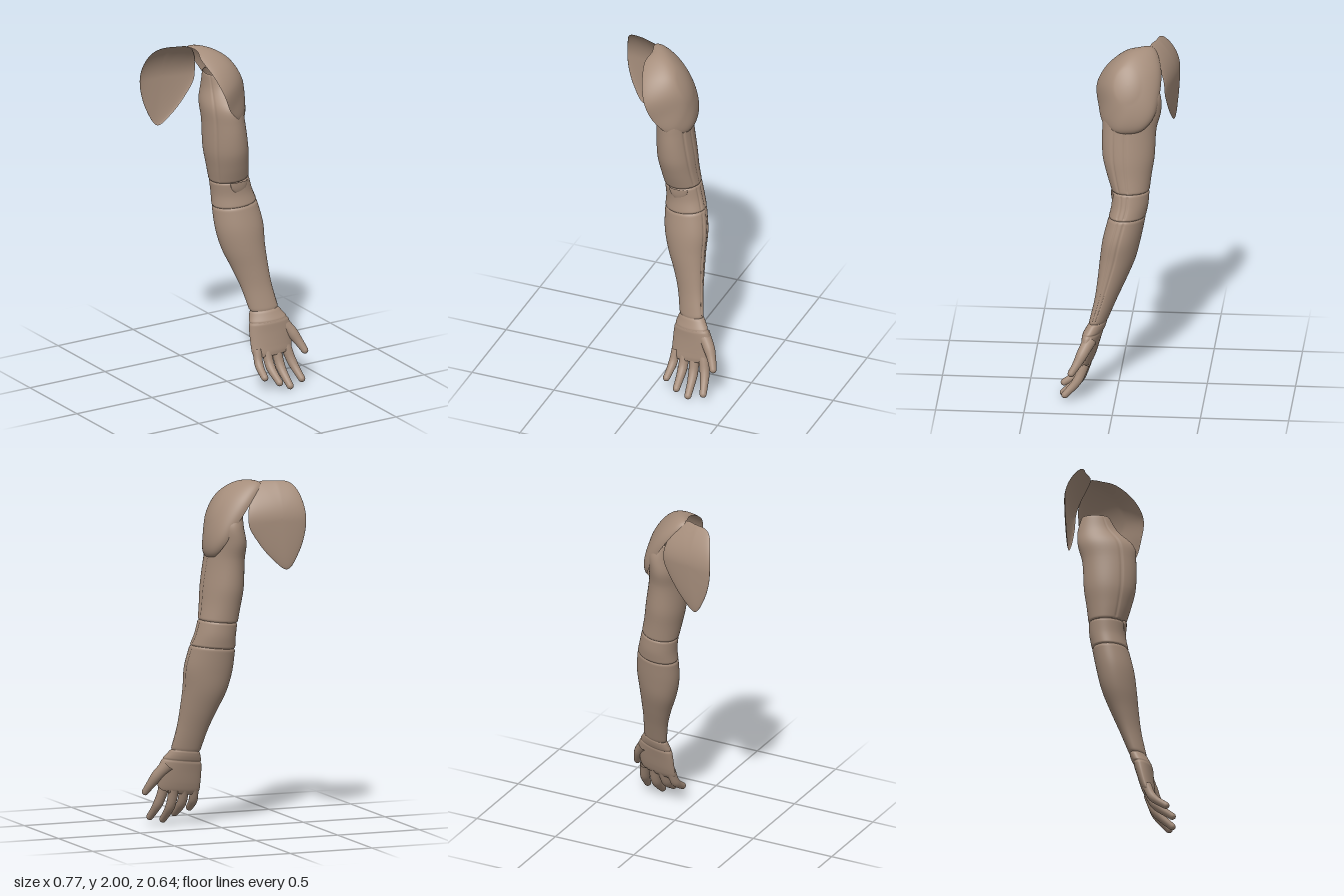
import * as THREE from 'three';

const material = new THREE.MeshStandardMaterial({ color: 0xa58d7b, side: THREE.DoubleSide });
const V = (x, y, z) => new THREE.Vector3(x, y, z);

// Skin a list of closed rings (equal point counts) into one smooth surface
function skin(name, rings) {
  const n = rings[0].length, index = [];
  for (let i = 0; i < rings.length - 1; i++) {
    for (let j = 0; j < n; j++) {
      const a = i * n + j, b = i * n + (j + 1) % n;
      index.push(a, b, a + n, b, b + n, a + n);
    }
  }
  const geometry = new THREE.BufferGeometry().setFromPoints(rings.flat());
  geometry.setIndex(index);
  geometry.computeVertexNormals();
  const mesh = new THREE.Mesh(geometry, material);
  mesh.name = name;
  return mesh;
}

// Limb segment from sections [y, xMin, xMax, zMin, zMax, skew]; ends dip into a seam,
// and lengthwise grooves run along the given angles (degrees, 0 = outer side, 90 = front)
function limb(name, sections, { grooves = [], closed = false } = {}) {
  const centres = new THREE.CatmullRomCurve3(sections.map(s => V((s[1] + s[2]) / 2, s[0], (s[3] + s[4]) / 2)));
  const radii = new THREE.CatmullRomCurve3(sections.map(s => V((s[2] - s[1]) / 2, s[5], (s[4] - s[3]) / 2)), false, 'catmullrom');
  const length = sections[0][0] - sections[sections.length - 1][0];
  const steps = 44, around = 120, rings = [];
  for (let k = 0; k <= steps; k++) {
    const u = (1 - Math.cos(Math.PI * k / steps)) / 2;
    const c = centres.getPoint(u), r = radii.getPoint(u);
    const edge = Math.min(u, 1 - u) * length;
    const dip = 0.05 * Math.exp(-((edge / 0.006) ** 2));
    const inside = THREE.MathUtils.smoothstep(edge, 0, 0.02);
    const ring = [];
    for (let j = 0; j < around; j++) {
      const t = j / around * Math.PI * 2;
      let s = 1 - dip;
      for (const g of grooves) {
        const d = Math.abs(((t * 180 / Math.PI - g + 540) % 360) - 180);
        s -= 0.045 * inside * Math.exp(-((d / 3) ** 2));
      }
      const dx = r.x * s * Math.cos(t);
      ring.push(V(c.x + dx, c.y + 0.1 * dx, c.z + r.z * s * Math.sin(t + r.y)));
    }
    rings.push(ring);
  }
  if (closed) rings.push(rings[steps].map(() => centres.getPoint(1)));
  return skin(name, rings);
}

// Tapered finger with a rounded tip along a short path
function finger(name, points, r0, r1) {
  const curve = new THREE.CatmullRomCurve3(points.map(p => V(...p)));
  const steps = 28, rings = [], length = curve.getLength();
  for (let k = 0; k <= steps; k++) {
    const u = Math.sin(k / steps * Math.PI / 2);
    const p = curve.getPointAt(u), tangent = curve.getTangentAt(u);
    const side = V(1, 0, 0).addScaledVector(tangent, -tangent.x).normalize();
    const up = tangent.clone().cross(side);
    const tip = Math.min(1, (1 - u) * length / r1);
    const knuckle = 1 + 0.06 * Math.exp(-(((u - 0.45) / 0.12) ** 2));
    const r = THREE.MathUtils.lerp(r0, r1, u) * knuckle * Math.sqrt(1 - (1 - tip) ** 2);
    rings.push(Array.from({ length: 20 }, (_, j) => {
      const t = j / 20 * Math.PI * 2;
      return p.clone().addScaledVector(side, r * Math.cos(t)).addScaledVector(up, r * Math.sin(t));
    }));
  }
  return skin(name, rings);
}

// Shell from a rim curve swelling to a pole at centre + bulge; place(offset, angle, rise) shapes each point
function shell(name, rim, centre, bulge, place) {
  const loop = new THREE.CatmullRomCurve3(rim.map(p => V(...p)), true).getPoints(96).slice(0, 96);
  const c = V(...centre), d = V(...bulge), rings = [];
  for (let k = 0; k <= 28; k++) {
    const a = k / 28 * Math.PI / 2, rise = Math.sin(a);
    rings.push(loop.map((p, j) => place(p.clone().sub(c), j / 48 * Math.PI, rise)
      .multiplyScalar(Math.cos(a)).add(c).addScaledVector(d, rise)));
  }
  return skin(name, rings);
}

export function createModel() {
  const arm = new THREE.Group();
  arm.name = 'arm';

  // Shoulder cap, open towards the body; the irregular rim eases into an even ellipse
  arm.add(shell('shoulderCap', [
    [-0.16, 1.988, -0.182], [-0.145, 1.99, -0.09], [-0.16, 1.96, -0.02], [-0.135, 1.88, 0.08],
    [-0.1, 1.78, 0.133], [-0.05, 1.67, 0.12], [0.03, 1.59, 0.085], [0.095, 1.56, 0],
    [0.097, 1.575, -0.125], [0.07, 1.64, -0.195], [0.01, 1.75, -0.228], [-0.09, 1.9, -0.23],
  ], [-0.03, 1.79, -0.045], [0.115, 0.062, -0.01], (offset, angle, rise) => {
    const t = angle - Math.PI / 6;
    return offset.lerp(V(-0.1 * Math.cos(t), 0.2 * Math.cos(t), 0.168 * Math.sin(t)), Math.min(1, 1.3 * rise * rise));
  }));

  // Shoulder blade plate, its top edge curling forwards to meet the cap
  const blade = shell('shoulderBlade', [
    [-0.31, 1.995, 0], [-0.23, 2, 0], [-0.15, 1.992, 0], [-0.08, 1.9, 0], [-0.06, 1.77, 0],
    [-0.11, 1.67, 0], [-0.2, 1.56, 0], [-0.28, 1.505, 0], [-0.345, 1.6, 0], [-0.385, 1.75, 0], [-0.375, 1.89, 0], [-0.345, 1.97, 0],
  ], [-0.24, 1.8, 0], [0, 0, -0.02], offset => offset);
  const position = blade.geometry.attributes.position;
  for (let i = 0; i < position.count; i++) {
    const x = position.getX(i), curl = Math.max(0, (position.getY(i) - 1.78) / 0.22);
    position.setZ(i, position.getZ(i) - 0.256 + (x + 0.08) * 0.18 + (0.09 + 0.2 * Math.max(0, x + 0.25)) * curl ** 2);
  }
  blade.geometry.computeVertexNormals();
  arm.add(blade);

  // Upper arm, elbow band and forearm
  arm.add(limb('upperArm', [
    [1.83, -0.06, 0.04, -0.215, -0.06, 0], [1.75, -0.068, 0.083, -0.238, -0.01, 0.05],
    [1.66, -0.093, 0.1, -0.237, 0.08, 0.1], [1.56, -0.092, 0.112, -0.212, 0.093, 0.1],
    [1.4, -0.09, 0.137, -0.203, 0.09, 0.1], [1.29, -0.072, 0.15, -0.187, 0.063, 0.1],
    [1.2, -0.055, 0.164, -0.176, 0.034, 0.1],
  ], { grooves: [0, 30, 148] }));
  arm.add(limb('elbowBand', [
    [1.2, -0.053, 0.164, -0.176, 0.034, 0.1], [1.12, -0.045, 0.184, -0.17, 0.036, 0.12], [1.05, -0.047, 0.206, -0.156, 0.051, 0.15],
  ], { grooves: [0, 22] }));
  arm.add(limb('forearm', [
    [1.05, -0.047, 0.206, -0.156, 0.051, 0.15], [0.92, -0.04, 0.228, -0.13, 0.083, 0.18],
    [0.8, -0.012, 0.226, -0.1, 0.098, 0.22], [0.68, 0.035, 0.23, -0.05, 0.11, 0.28],
    [0.57, 0.072, 0.238, 0, 0.125, 0.34], [0.44, 0.1, 0.258, 0.055, 0.155, 0.4],
  ], { grooves: [-4, 18] }));

  // Half-round tab hanging into the crook of the elbow
  const tab = new THREE.Mesh(new THREE.SphereGeometry(1, 32, 12, 0, Math.PI * 2, Math.PI / 2, Math.PI / 2), material);
  tab.name = 'elbowTab';
  tab.scale.set(0.056, 0.07, 0.016);
  tab.position.set(0.064, 1.2, 0.024);
  arm.add(tab);

  // Wrist band and palm
  arm.add(limb('wristBand', [
    [0.44, 0.1, 0.258, 0.055, 0.155, 0.4], [0.41, 0.091, 0.278, 0.064, 0.172, 0.42], [0.38, 0.08, 0.3, 0.077, 0.19, 0.45],
  ]));
  arm.add(limb('palm', [
    [0.38, 0.08, 0.3, 0.077, 0.19, 0.45], [0.32, 0.076, 0.318, 0.095, 0.195, 0.5],
    [0.25, 0.075, 0.316, 0.115, 0.201, 0.5], [0.21, 0.076, 0.312, 0.13, 0.205, 0.5], [0.185, 0.09, 0.3, 0.146, 0.204, 0.5],
  ], { closed: true }));

  // Fingers and thumb
  const fingers = [
    ['littleFinger', [0.105, 0.22, 0.152], [0.096, 0.14, 0.188], [0.087, 0.075, 0.277], 0.027],
    ['ringFinger', [0.162, 0.215, 0.16], [0.161, 0.125, 0.202], [0.165, 0.042, 0.314], 0.03],
    ['middleFinger', [0.222, 0.215, 0.166], [0.228, 0.11, 0.206], [0.236, 0.008, 0.312], 0.031],
    ['indexFinger', [0.28, 0.22, 0.174], [0.302, 0.125, 0.212], [0.325, 0.029, 0.295], 0.031],
  ];
  for (const [name, base, middle, tip, radius] of fingers) arm.add(finger(name, [base, middle, tip], radius, 0.019));
  arm.add(finger('thumb', [[0.262, 0.36, 0.145], [0.312, 0.3, 0.18], [0.343, 0.245, 0.21], [0.373, 0.178, 0.253]], 0.04, 0.018));

  return arm;
}
